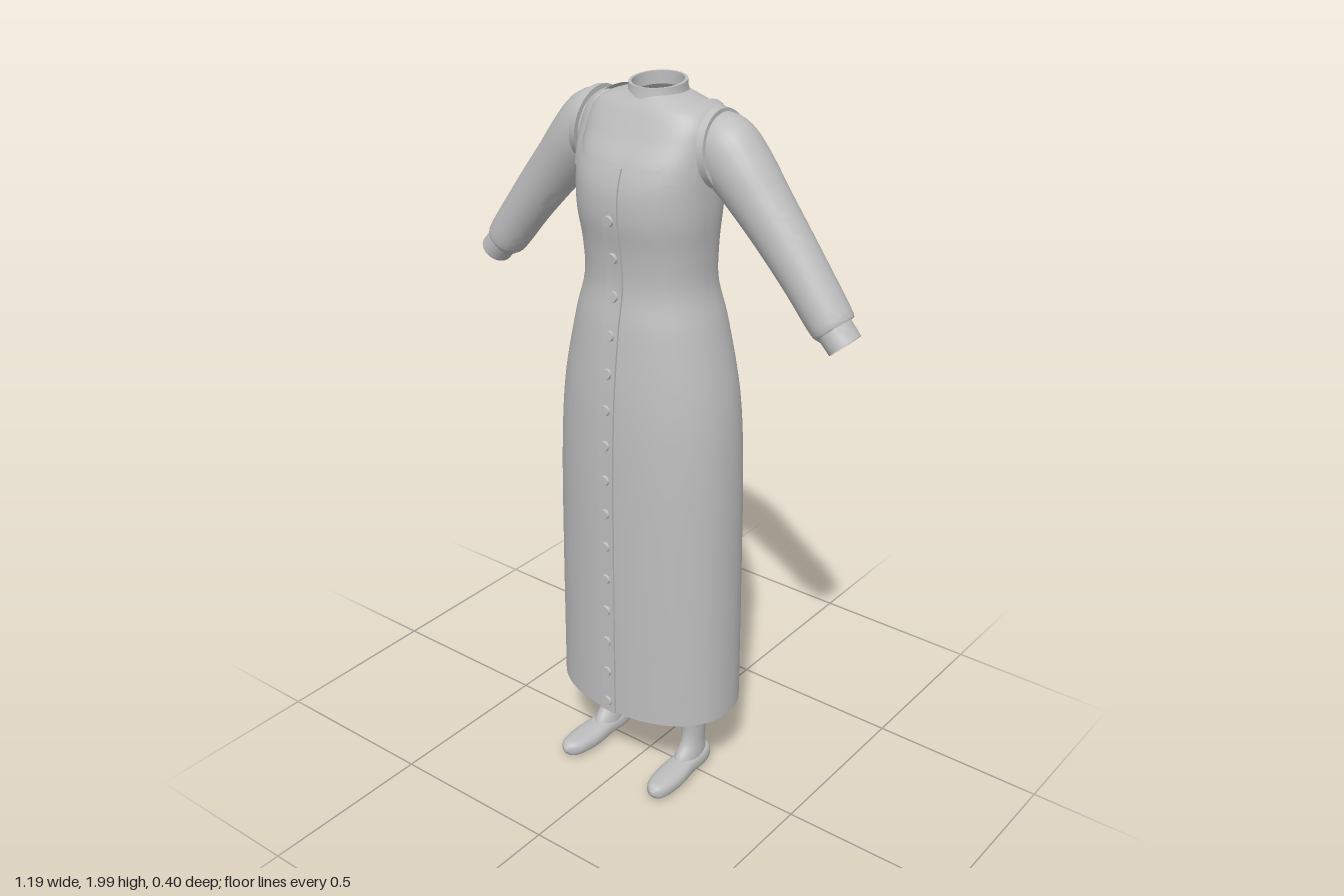
import * as THREE from 'three';
import { toCreasedNormals } from 'three/addons/utils/BufferGeometryUtils.js';

// dress sections: height, half width, front z, back z, squareness
const SECTIONS = [
  [0.25, 0.272, 0.19, -0.2, 2.15], [0.7, 0.268, 0.19, -0.2, 2.15], [1.0, 0.262, 0.188, -0.199, 2.15],
  [1.2, 0.246, 0.181, -0.193, 2.15], [1.4, 0.203, 0.16, -0.17, 2.2], [1.5, 0.177, 0.143, -0.15, 2.2],
  [1.6, 0.178, 0.147, -0.147, 2.25], [1.68, 0.186, 0.16, -0.152, 2.3], [1.76, 0.188, 0.158, -0.16, 2.4],
  [1.82, 0.189, 0.138, -0.16, 2.6], [1.87, 0.189, 0.108, -0.152, 2.8], [1.91, 0.184, 0.086, -0.14, 2.8],
  [1.94, 0.165, 0.069, -0.128, 2.6], [1.957, 0.13, 0.056, -0.117, 2.3], [1.972, 0.08, 0.047, -0.107, 2.05],
];

// smooth interpolation of a table by its first column
function sample(table, y) {
  let i = 0;
  while (i < table.length - 2 && y > table[i + 1][0]) i++;
  const a = table[i], b = table[i + 1], p = table[Math.max(i - 1, 0)], q = table[Math.min(i + 2, table.length - 1)];
  const h = b[0] - a[0], t = Math.min(Math.max((y - a[0]) / h, 0), 1), t2 = t * t, t3 = t2 * t;
  return a.map((v, k) => {
    if (k === 0) return y;
    const m0 = (b[k] - p[k]) / (b[0] - p[0]) * h, m1 = (q[k] - a[k]) / (q[0] - a[0]) * h;
    return (2 * t3 - 3 * t2 + 1) * v + (t3 - 2 * t2 + t) * m0 + (3 * t2 - 2 * t3) * b[k] + (t3 - t2) * m1;
  });
}

const power = (v, n) => Math.sign(v) * Math.abs(v) ** (2 / n);

function bodyPoint(angle, y, grow = 0) {
  const [, w, f, b, n] = sample(SECTIONS, y);
  return [(w + grow) * power(Math.cos(angle), n), y, (f + b) / 2 + ((f - b) / 2 + grow) * power(Math.sin(angle), n)];
}

// depth of the body surface at a given x and height; side is 1 for front, -1 for back
function bodyZ(x, y, side, grow = 0) {
  const [, w, f, b, n] = sample(SECTIONS, y);
  const r = Math.min(Math.abs(x) / (w + grow), 1);
  return (f + b) / 2 + side * ((f - b) / 2 + grow) * (1 - r ** n) ** (1 / n);
}

// skin over a list of equal-length point rows
function loft(rows, { closed = true, capStart = false, capEnd = false, crease = 0 } = {}) {
  const n = rows[0].length, pos = rows.flat(2), index = [];
  for (let r = 0; r < rows.length - 1; r++) {
    for (let i = 0; i < (closed ? n : n - 1); i++) {
      const j = (i + 1) % n, a = r * n + i, b = r * n + j;
      index.push(a, a + n, b, b, a + n, b + n);
    }
  }
  const cap = (r, flip) => {
    const c = pos.length / 3;
    for (let k = 0; k < 3; k++) pos.push(rows[r].reduce((s, p) => s + p[k], 0) / n);
    for (let i = 0; i < n; i++) {
      const a = r * n + i, b = r * n + (i + 1) % n;
      index.push(c, flip ? b : a, flip ? a : b);
    }
  };
  if (capStart) cap(0, false);
  if (capEnd) cap(rows.length - 1, true);
  const g = new THREE.BufferGeometry();
  g.setAttribute('position', new THREE.Float32BufferAttribute(pos, 3));
  g.setIndex(index);
  g.computeVertexNormals();
  return crease ? toCreasedNormals(g, crease) : g;
}

const range = (n, fn) => Array.from({ length: n + 1 }, (_, i) => fn(i / n));
const ring = (n, fn) => Array.from({ length: n }, (_, i) => fn(i / n * Math.PI * 2));

// arm rings across a path in the x-y plane: x, y, radius, depth radius
function armLoft(stations, z, steps) {
  const table = stations.map((s, i) => [i, ...s]), last = stations.length - 1;
  return loft(range(steps, t => {
    const s = t * last, [, x, y, r, d] = sample(table, s);
    const p = sample(table, Math.max(s - 0.2, 0)), q = sample(table, Math.min(s + 0.2, last));
    const dx = q[1] - p[1], dy = q[2] - p[2], l = Math.hypot(dx, dy);
    return ring(28, a => [x - dy / l * r * Math.cos(a), y + dx / l * r * Math.cos(a), z + d * Math.sin(a)]);
  }), { crease: 0.9 });
}

// shoulder strap lying on the body between two x positions
function strapGeometry(side) {
  const columns = range(8, t => {
    const x = 0.132 + 0.052 * t;
    let lo = 1.86, hi = 1.972;
    for (let k = 0; k < 30; k++) {
      const m = (lo + hi) / 2;
      if (sample(SECTIONS, m)[1] + 0.004 > x) lo = m; else hi = m;
    }
    return range(40, u => {
      const a = u * Math.PI, start = u < 0.5 ? 1.79 : 1.75;
      const y = start + (lo - start) * Math.sin(a);
      return [side * x, y + 0.004 * Math.sin(a), bodyZ(x, y, u < 0.5 ? 1 : -1, 0.004)];
    });
  });
  return loft(columns, { closed: false });
}

export function createModel() {
  const model = new THREE.Group();
  const grey = new THREE.MeshStandardMaterial({ color: 0xbdbdbd, side: THREE.DoubleSide });
  grey.name = 'grey';
  const add = (name, geometry, parent = model) => {
    const mesh = new THREE.Mesh(geometry, grey);
    mesh.name = name;
    parent.add(mesh);
    return mesh;
  };

  // dress with a square neckline at the front and a scoop at the back
  add('dress', loft(range(70, t => ring(72, a => {
    const x = Math.abs(bodyPoint(a, 1.8)[0]);
    const top = (Math.sin(a) > 0 ? 1.82 : 1.78) + 0.05 * THREE.MathUtils.smoothstep(x, 0.115, 0.145);
    return bodyPoint(a, 0.25 + (top - 0.25) * t);
  }))));

  // blouse filling the neckline and shoulders
  add('blouse', loft(range(40, t => ring(72, a => bodyPoint(a, 1.65 + 0.322 * Math.sin(t * Math.PI / 2), -0.008))),
    { capStart: true }));

  // standing collar, slightly lower at the front
  const collarRow = (y, w, d) => ring(36, a => [w * Math.cos(a), y - 0.007 * Math.sin(a), -0.03 + d * Math.sin(a)]);
  add('collar', loft([collarRow(1.96, 0.078, 0.078), collarRow(1.976, 0.073, 0.074), collarRow(1.993, 0.074, 0.071),
    collarRow(1.993, 0.066, 0.064), collarRow(1.96, 0.066, 0.064)], { crease: 0.7 }));

  // button placket down the front
  add('placket', loft(range(60, t => {
    const y = 0.25 + 1.565 * t, w = 0.024, z = bodyZ(w, y, 1);
    return [[-w, y, z - 0.006], [-w, y, z + 0.006], [w, y, z + 0.006], [w, y, z - 0.006]];
  }), { capStart: true, capEnd: true, crease: 0.6 }));

  // buttons
  const button = new THREE.CylinderGeometry(0.013, 0.015, 0.008, 16).rotateX(Math.PI / 2);
  for (let i = 0; i < 15; i++) {
    const y = 0.285 + i * 0.1;
    const slope = (bodyZ(0, y + 0.01, 1) - bodyZ(0, y - 0.01, 1)) / 0.02;
    const mesh = add('button', button);
    mesh.position.set(0, y, bodyZ(0, y, 1) + 0.008);
    mesh.rotation.x = Math.atan(slope);
  }

  // sleeves, cuffs, straps, legs and shoes, built for the left and mirrored
  const sleeve = armLoft([
    [0.15, 1.862, 0.075, 0.07], [0.2, 1.855, 0.088, 0.08], [0.25, 1.81, 0.083, 0.081], [0.315, 1.737, 0.074, 0.073],
    [0.38, 1.662, 0.068, 0.066], [0.45, 1.577, 0.062, 0.062], [0.51, 1.5, 0.058, 0.06], [0.53, 1.475, 0.053, 0.056],
    [0.533, 1.472, 0.04, 0.044]], -0.035, 56);
  const cuff = armLoft([[0.522, 1.485, 0.044, 0.05], [0.565, 1.439, 0.043, 0.048]], -0.031, 3);
  const cuffLining = armLoft([[0.535, 1.471, 0.038, 0.043], [0.565, 1.439, 0.043, 0.048]], -0.031, 2);

  // raised band around the armhole
  const band = loft(range(48, t => {
    const a = t * Math.PI * 2, c = Math.cos(a), s = Math.sin(a);
    return [[0.188, 0], [0.188, 0.013], [0.207, 0.011], [0.207, 0]].map(([x, r]) =>
      [x - 0.012 * c, 1.856 + (0.086 + r) * c, -0.028 + (0.083 + r) * s]);
  }), { crease: 0.7 });

  // legs: height, x radius, centre z, z radius
  const LEG = [[0.045, 0.033, 0.01, 0.066], [0.075, 0.031, 0, 0.06], [0.1, 0.029, -0.008, 0.046],
    [0.14, 0.031, -0.013, 0.042], [0.2, 0.039, -0.018, 0.052], [0.26, 0.046, -0.023, 0.062], [0.6, 0.058, -0.02, 0.075]];
  const leg = loft(range(36, t => {
    const [y, w, z, d] = sample(LEG, 0.045 + 0.555 * t ** 1.5);
    return ring(24, a => [0.149 + w * Math.cos(a), y, z + d * Math.sin(a)]);
  }), { capStart: true, capEnd: true });

  // shoes: z, half width, bottom, top, centre x
  const SHOE = [[-0.072, 0.006, 0.034, 0.046, 0.148], [-0.062, 0.026, 0.013, 0.068, 0.148], [-0.03, 0.036, 0.006, 0.07, 0.149],
    [0.03, 0.037, 0.01, 0.066, 0.151], [0.1, 0.042, 0.008, 0.063, 0.154], [0.16, 0.036, 0.01, 0.061, 0.157],
    [0.19, 0.023, 0.016, 0.057, 0.159], [0.203, 0.005, 0.032, 0.044, 0.16]];
  const shoe = loft(range(40, t => {
    const [z, w, lo, hi, x] = sample(SHOE, -0.072 + 0.275 * (1 - Math.cos(t * Math.PI)) / 2);
    return ring(24, a => [x + w * power(Math.cos(a), 2.5), (lo + hi) / 2 + (hi - lo) / 2 * power(Math.sin(a), 2.5), z]);
  }), { capStart: true, capEnd: true });

  for (const [label, side] of [['left', 1], ['right', -1]]) {
    const arm = new THREE.Group(), foot = new THREE.Group();
    arm.name = label + 'Arm';
    foot.name = label + 'Leg';
    arm.scale.x = foot.scale.x = side;
    add('sleeve', sleeve, arm);
    add('cuff', cuff, arm);
    add('cuffLining', cuffLining, arm);
    add('armholeBand', band, arm);
    add('strap', strapGeometry(1), arm);
    add('leg', leg, foot);
    add('shoe', shoe, foot);
    model.add(arm, foot);
  }
  return model;
}
